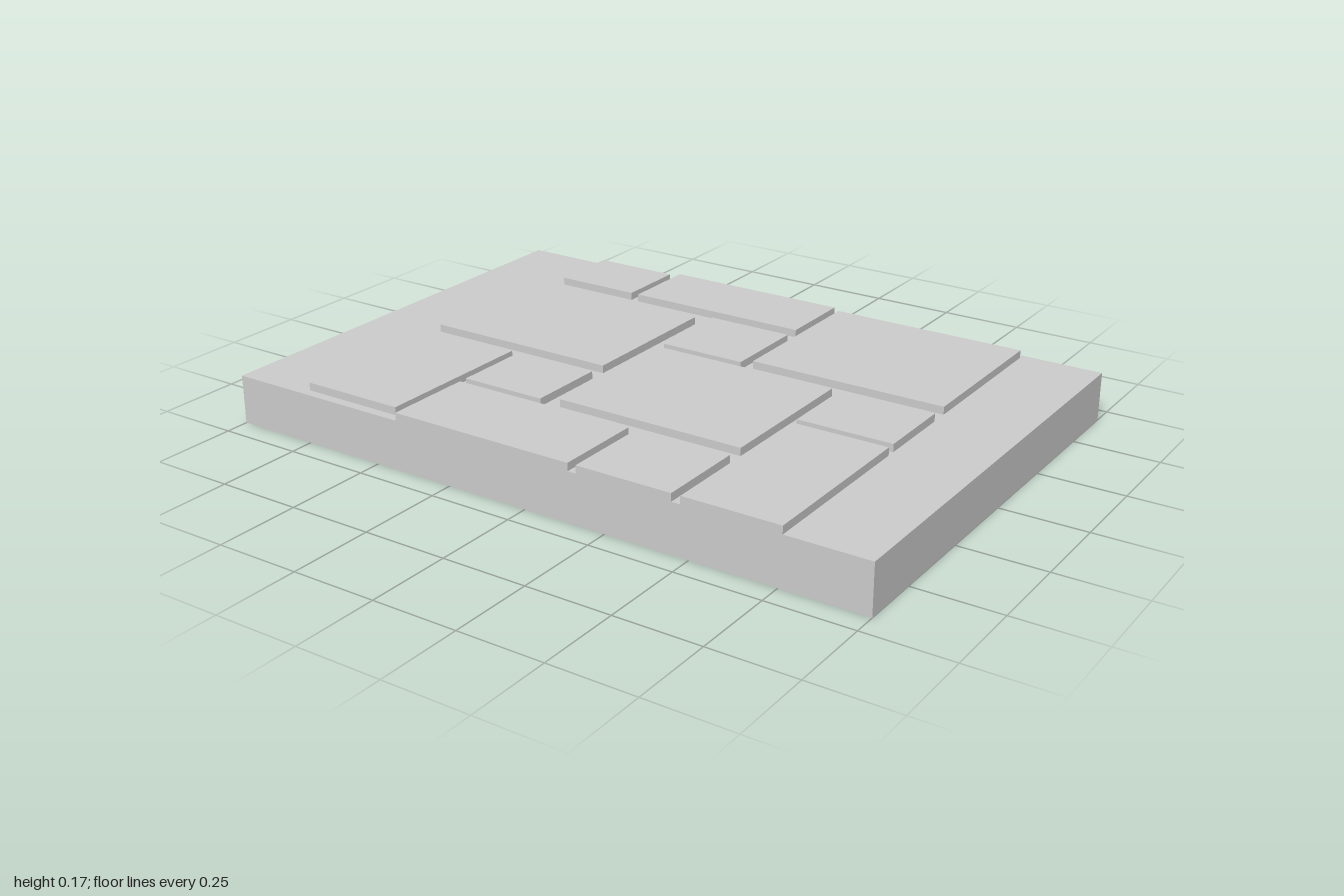
import * as THREE from 'three';

const DEPTH = 0.68; // half depth of the slab
const SLAB_TOP = 0.144;
const TILE_TOP = 0.167;

// Paving tiles as [x min, x max, z min, z max]
const TILES = [
  [-0.715, -0.452, -0.66, -0.445],
  [-0.427, 0.14, -DEPTH, -0.445],
  [0.165, 0.76, -0.66, -0.162],
  [-0.765, -0.168, -0.372, 0.102],
  [-0.122, 0.14, -0.398, -0.136],
  [-0.122, 0.45, -0.108, 0.364],
  [0.476, 0.76, -0.108, 0.128],
  [-0.765, -0.452, 0.153, 0.652],
  [-0.427, -0.168, 0.153, 0.39],
  [-0.427, 0.14, 0.415, DEPTH],
  [0.165, 0.45, 0.415, DEPTH],
  [0.476, 0.76, 0.153, DEPTH],
];

export function createModel() {
  const model = new THREE.Group();
  model.name = 'pavedSlab';
  const material = new THREE.MeshStandardMaterial({ color: 0xcccccc, flatShading: true });

  // Box between two corners
  const block = (name, x0, x1, y0, y1, z0, z1) => {
    const mesh = new THREE.Mesh(new THREE.BoxGeometry(x1 - x0, y1 - y0, z1 - z0), material);
    mesh.position.set((x0 + x1) / 2, (y0 + y1) / 2, (z0 + z1) / 2);
    mesh.name = name;
    return mesh;
  };

  // Ground slab
  model.add(block('slab', -1, 1, 0, SLAB_TOP, -DEPTH, DEPTH));

  // Raised paving tiles
  const tiles = new THREE.Group();
  tiles.name = 'pavingTiles';
  TILES.forEach(([x0, x1, z0, z1], i) => {
    tiles.add(block(`tile${i + 1}`, x0, x1, SLAB_TOP, TILE_TOP, z0, z1));
  });
  model.add(tiles);
  return model;
}
